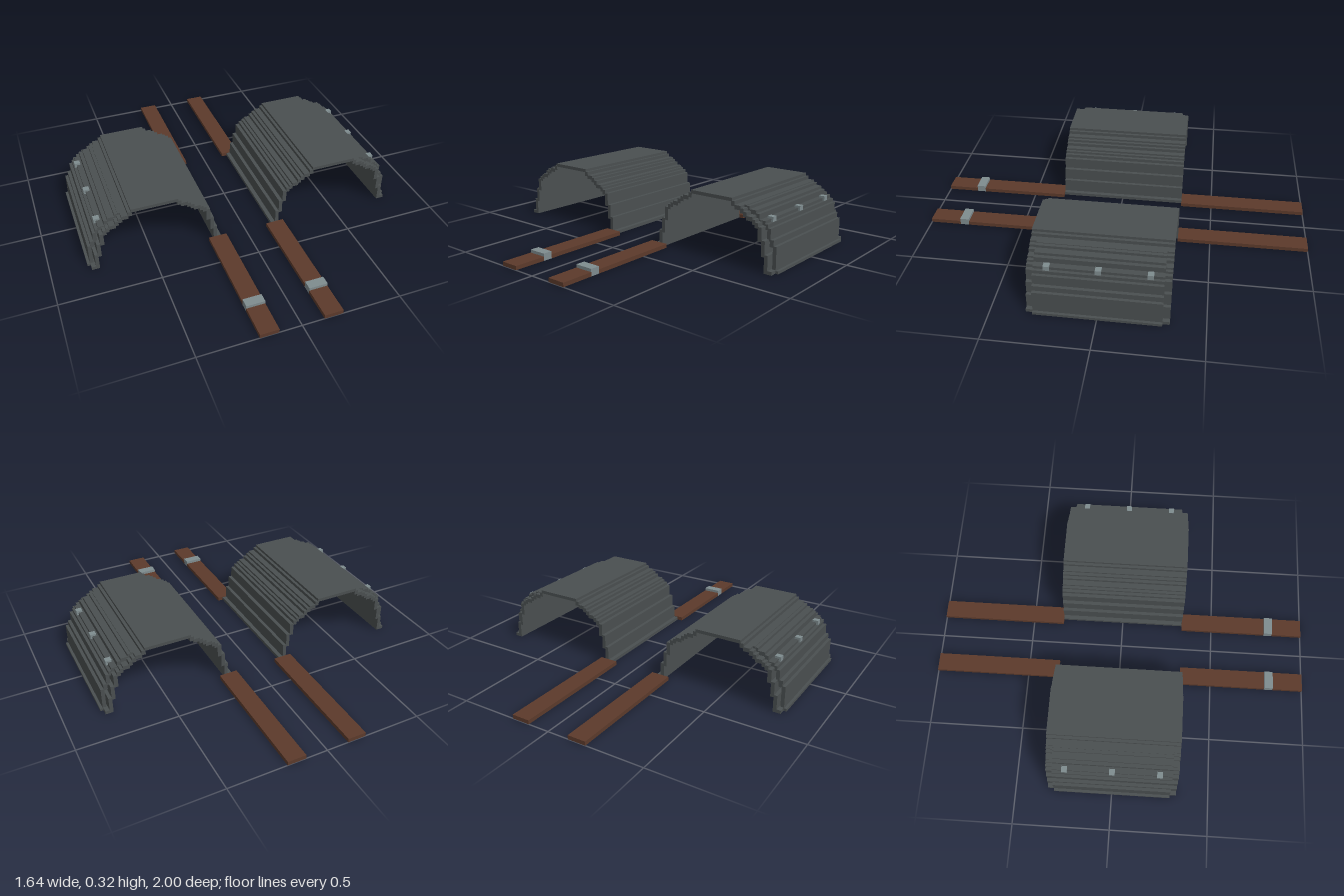
import * as THREE from 'three';

export function createModel() {
  const root = new THREE.Group();
  root.name = 'archCovers';
  const mat = (name, color) => {
    const m = new THREE.MeshStandardMaterial({ color });
    m.name = name;
    return m;
  };
  const sheetMetal = mat('darkSheetMetal', 0x4a4f50);
  const steel = mat('lightSteel', 0x7f8c8f);
  const wood = mat('brownWood', 0x5c3a2b);

  const U = 1 / 60;      // one step of the stair profile
  const CENTRE = 0.4725; // arch axis

  // Box given by its limits on each axis
  const box = (parent, name, material, x0, x1, y0, y1, z0, z1) => {
    const mesh = new THREE.Mesh(new THREE.BoxGeometry(Math.abs(x1 - x0), y1 - y0, z1 - z0), material);
    mesh.position.set((x0 + x1) / 2, (y0 + y1) / 2, (z0 + z1) / 2);
    mesh.name = name;
    parent.add(mesh);
  };

  // Half-profile steps: distance from the axis (in, out), height (low, high)
  const archSteps = [
    [17.6, 20, 0, 1], [17.6, 18.7, 1, 5.2], [16.6, 17.7, 4.5, 9], [15.4, 16.6, 8.5, 12.5],
    [14.4, 15.5, 12, 13.5], [13.5, 14.5, 12.8, 14.2], [11.6, 13.6, 13.6, 14.8],
    [10.7, 11.8, 14.4, 15.8], [9.6, 10.8, 15.2, 16.6], [7.8, 9.8, 16, 17.2], [6.7, 7.9, 16.8, 18.2],
  ];
  const panelSteps = [
    [18.8, 20.9, 0, 0.8], [19, 20.1, 0.6, 7.4], [18, 19.2, 7, 9], [17.1, 18.2, 8.5, 12],
    [16.2, 17.3, 11.5, 13], [14.4, 16.4, 12.6, 13.8], [13.3, 14.6, 13.4, 15.4],
    [11.2, 13.5, 15, 16.2], [10.2, 11.4, 15.8, 17], [9, 10.4, 16.3, 17.2],
  ];
  const steps = (parent, name, list, centre, dir, halfDepth) => list.forEach(([a, b, y0, y1]) =>
    box(parent, name, sheetMetal, centre + dir * a * U, centre + dir * b * U, y0 * U, y1 * U, -halfDepth, halfDepth));

  for (const s of [1, -1]) {
    const side = new THREE.Group();
    side.name = s > 0 ? 'leftSide' : 'rightSide';
    root.add(side);
    const c = s * CENTRE;

    // Stepped arch with a flat crown
    steps(side, 'archStep', archSteps, c, 1, 0.333);
    steps(side, 'archStep', archSteps, c, -1, 0.333);
    box(side, 'archCrown', sheetMetal, c - 7 * U, c + 7 * U, 18 * U, 19 * U, -0.333, 0.333);

    // Outer overlapping panel and its bolts
    steps(side, 'outerPanelStep', panelSteps, c, s, 0.3);
    for (const z of [-0.237, 0, 0.237])
      box(side, 'bolt', steel, s * 0.726, s * 0.756, 0.211, 0.24, z - 0.014, z + 0.014);

    // Planks before and behind the arch, with a clamp around the front one
    const plank = (z0, z1) => box(side, 'plank', wood, s * 0.111, s * 0.205, 0, 0.02, z0, z1);
    plank(-1, -0.333);
    plank(0.333, 0.793);
    plank(0.839, 1);
    box(side, 'plankClamp', steel, s * 0.111, s * 0.205, 0, 0.035, 0.793, 0.839);
  }
  return root;
}
